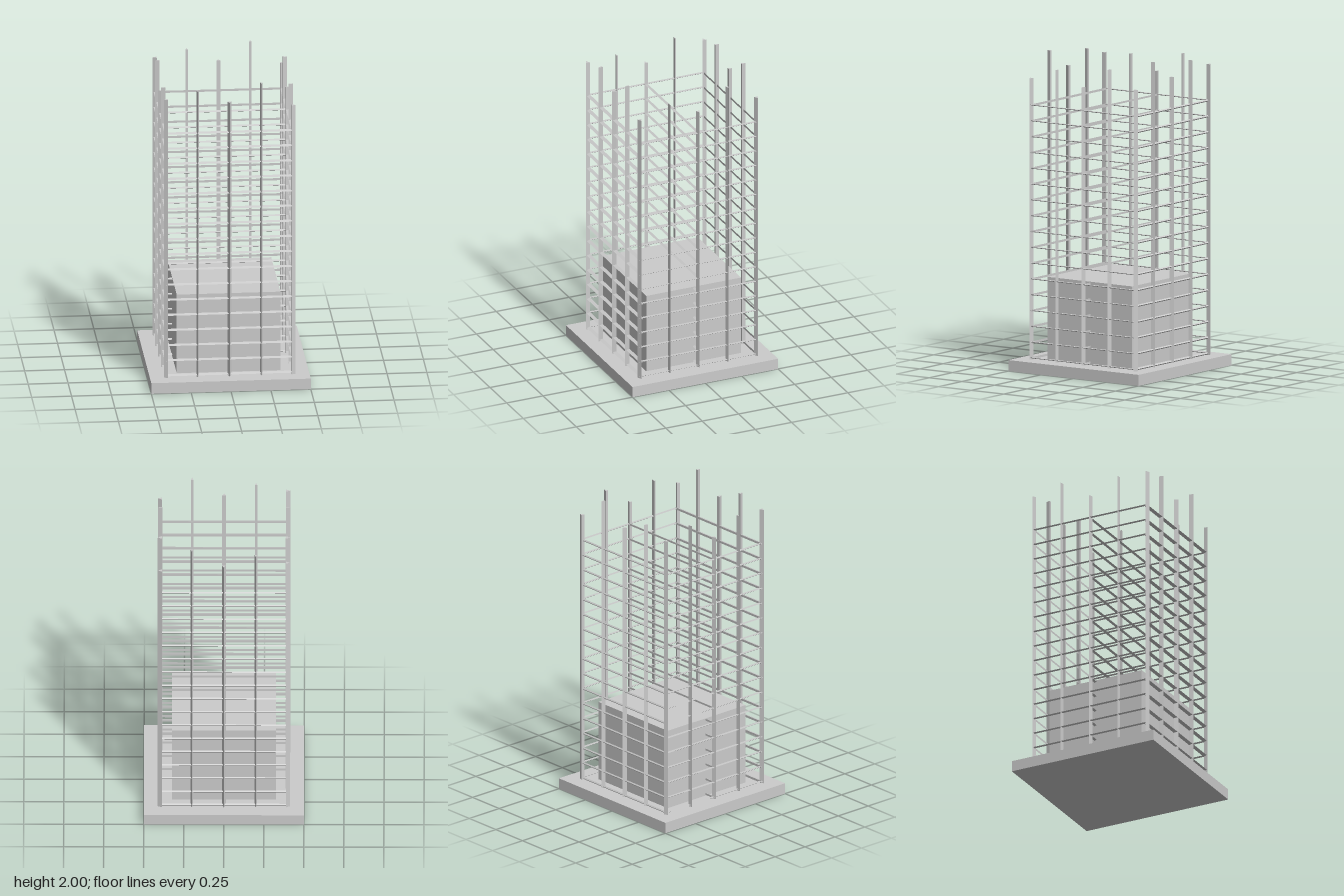
import * as THREE from 'three';

const material = new THREE.MeshStandardMaterial({ color: 0xcccccc, flatShading: true });

// Three-sided rod standing on y, centred, with its apex towards +z
function rod(width, depth, length) {
  return new THREE.CylinderGeometry(1, 1, 1, 3)
    .translate(0, 0, -0.25)
    .scale(width / Math.sqrt(3), length, depth / 1.5);
}

function add(parent, name, geometry, x, y, z) {
  const mesh = new THREE.Mesh(geometry, material);
  mesh.name = name;
  mesh.position.set(x, y, z);
  parent.add(mesh);
}

export function createModel() {
  const model = new THREE.Group();
  model.name = 'reinforcedColumn';
  const baseTop = 0.07, half = 0.4;

  // Footing slab and the cast concrete core
  add(model, 'footing', new THREE.BoxGeometry(1, baseTop, 1), 0, baseTop / 2, 0);
  add(model, 'concreteCore', new THREE.BoxGeometry(0.65, 0.52, 0.65), 0, baseTop + 0.26, 0);

  // Upright bars of uneven length around the square
  const bars = new THREE.Group();
  bars.name = 'verticalBars';
  model.add(bars);
  function upright(x, z, top, width, depth, angle) {
    const length = top - baseTop;
    add(bars, 'verticalBar', rod(width, depth, length).rotateY(angle), x, baseTop + length / 2, z);
  }
  const rowTops = [1.91, 1.96, 1.88, 2.0, 1.85];
  for (const side of [-1, 1]) {
    rowTops.forEach((top, i) => {
      const x = -half + i * 0.2;
      const corner = i === 0 || i === 4;
      const angle = corner ? Math.sign(x) * Math.PI / 2 : (side > 0 ? 0 : Math.PI);
      upright(x, side * half, top, i % 2 ? 0.016 : 0.025, 0.026, angle);
    });
    const angle = side * Math.PI / 2;
    upright(side * half, 0.2, 1.92, 0.009, 0.028, angle);
    upright(side * half, 0, 1.83, 0.021, 0.027, angle);
    upright(side * half, -0.2, 1.96, side > 0 ? 0.018 : 0.009, 0.028, angle);
  }

  // Horizontal stirrups with a cross tie through the middle
  const frontRod = rod(0.014, 0.021, 2 * half).rotateZ(-Math.PI / 2);
  const backRod = rod(0.014, 0.006, 2 * half).rotateY(Math.PI).rotateZ(-Math.PI / 2);
  const tieRod = rod(0.012, 0.014, 2 * half).rotateZ(-Math.PI / 2);
  const sideRod = rod(0.02, 0.006, 2 * half).rotateX(Math.PI / 2);
  for (let i = 0; i < 17; i++) {
    const y = 0.08 + i * 0.1;
    const stirrup = new THREE.Group();
    stirrup.name = 'stirrup';
    model.add(stirrup);
    add(stirrup, 'frontRod', frontRod, 0, y, 0.397);
    add(stirrup, 'backRod', backRod, 0, y, -0.4);
    add(stirrup, 'crossTie', tieRod, 0, y, 0);
    for (const side of [-1, 1]) add(stirrup, 'sideRod', sideRod, side * 0.397, y, 0);
  }
  return model;
}
